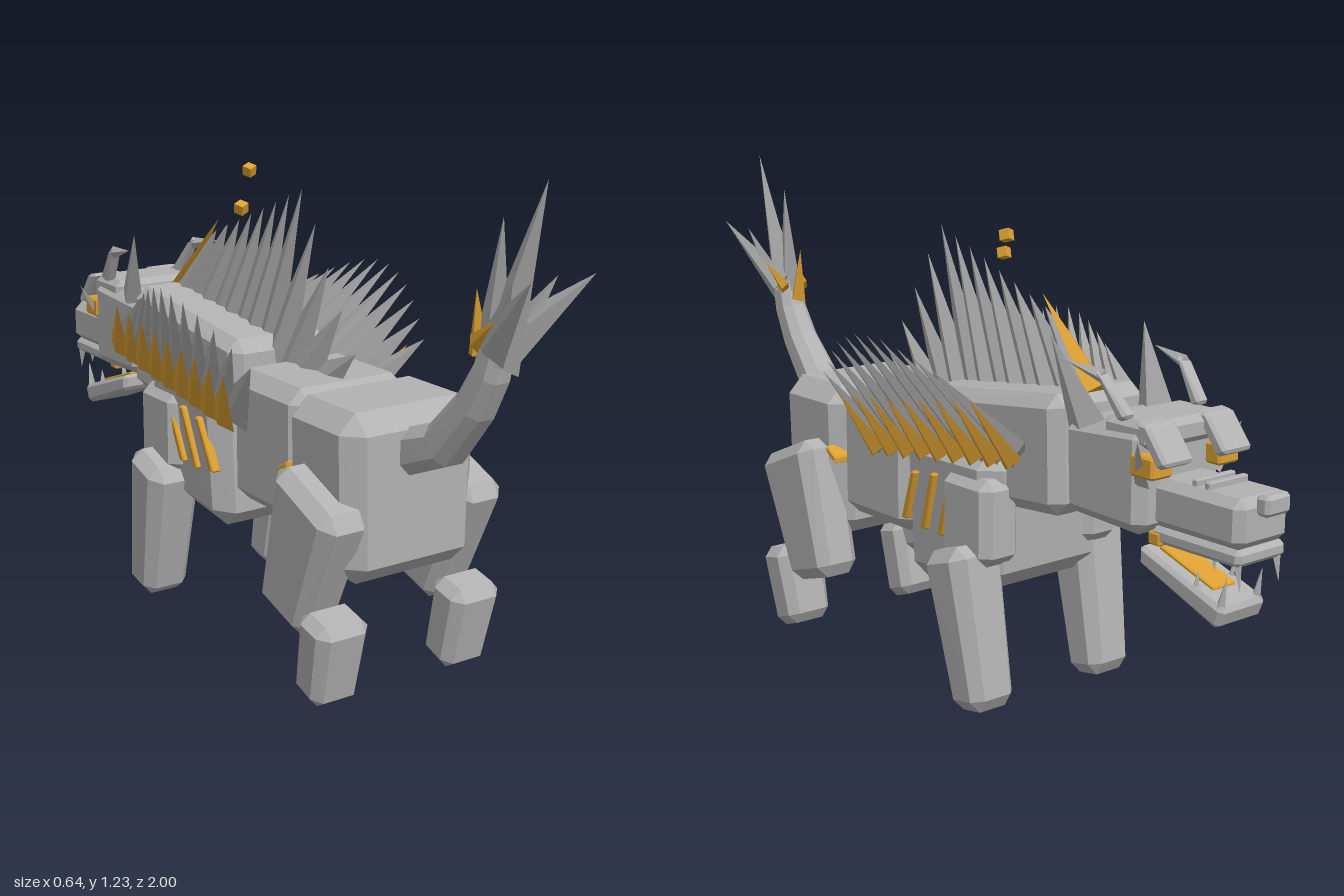
import * as THREE from 'three';
import { ConvexGeometry } from 'three/addons/geometries/ConvexGeometry.js';

const grey = new THREE.MeshStandardMaterial({ color: 0xb2b2b2 });
grey.name = 'stone grey';
const gold = new THREE.MeshStandardMaterial({ color: 0xdca032 });
gold.name = 'gold';
const V = (x, y, z) => new THREE.Vector3(x, y, z);
const lerp = (a, b, t) => a + (b - a) * t;

export function createModel() {
  const model = new THREE.Group();
  model.name = 'spinedBeast';

  function add(name, geometry, material = grey) {
    const mesh = new THREE.Mesh(geometry, material);
    mesh.name = name;
    model.add(mesh);
    return mesh;
  }

  // Bevelled block: side outline [z, y] as back-top, front-top, front-bottom, back-bottom,
  // with x ranges for the top and the bottom.
  function block(name, [bt, ft, fb, bb], top, bottom = top, c = 0.03, material = grey) {
    const points = [];
    const length = Math.hypot((bt[0] + bb[0] - ft[0] - fb[0]) / 2, (bt[1] + bb[1] - ft[1] - fb[1]) / 2);
    const height = Math.hypot((bt[0] + ft[0] - bb[0] - fb[0]) / 2, (bt[1] + ft[1] - bb[1] - fb[1]) / 2);
    const insets = [c / Math.abs(top[1] - top[0]), c / height, c / length];
    for (const a of [0, 1]) for (const b of [0, 1]) for (const d of [0, 1]) for (let full = 0; full < 3; full++) {
      const [u, v, w] = [a, b, d].map((s, k) => (k === full ? s : s ? 1 - insets[k] : insets[k]));
      const at = (k) => lerp(lerp(bb[k], fb[k], w), lerp(bt[k], ft[k], w), v);
      points.push(V(lerp(lerp(bottom[0], bottom[1], u), lerp(top[0], top[1], u), v), at(1), at(0)));
    }
    return add(name, new ConvexGeometry(points), material);
  }
  const rect = (zBack, zFront, yLow, yHigh) => [[zBack, yHigh], [zFront, yHigh], [zFront, yLow], [zBack, yLow]];

  // Flat four-sided spike; thin is the direction it is thinnest in
  function spike(name, base, tip, width, thickness, thin, material = grey) {
    const along = tip.clone().sub(base);
    const height = along.length();
    along.normalize();
    const z = thin.clone().addScaledVector(along, -thin.dot(along)).normalize();
    const x = along.clone().cross(z);
    const geometry = new THREE.ConeGeometry(1, 1, 4).toNonIndexed();
    geometry.translate(0, 0.5, 0).scale(width / 2, height, thickness / 2);
    geometry.applyMatrix4(new THREE.Matrix4().makeBasis(x, along, z).setPosition(base));
    geometry.computeVertexNormals();
    return add(name, geometry, material);
  }

  // Trunk
  block('hips', rect(0.57, 0.3, 0.29, 0.69), [-0.19, 0.19], [-0.18, 0.18], 0.045);
  block('waist', rect(0.33, 0.04, 0.36, 0.69), [-0.165, 0.165], undefined, 0.035);
  block('chest', [[0.03, 0.64], [-0.32, 0.64], [-0.3, 0.3], [0.03, 0.26]], [-0.2, 0.2], [-0.18, 0.18], 0.045);
  block('shoulders', [[0.03, 0.74], [-0.48, 0.8], [-0.49, 0.52], [0.03, 0.48]], [-0.145, 0.145], undefined, 0.03);

  // Head and muzzle
  block('head', [[-0.48, 0.75], [-0.73, 0.77], [-0.73, 0.53], [-0.49, 0.54]], [-0.13, 0.13], undefined, 0.025);
  block('forehead', rect(-0.6, -0.745, 0.72, 0.78), [-0.12, 0.12], undefined, 0.015);
  block('snout', rect(-0.7, -0.965, 0.545, 0.655), [-0.08, 0.08], undefined, 0.02);
  block('upperLip', rect(-0.71, -0.96, 0.51, 0.547), [-0.075, 0.075], undefined, 0.01);
  block('nose', rect(-0.965, -1, 0.62, 0.665), [-0.038, 0.038], undefined, 0.008);
  block('lowerJaw', [[-0.67, 0.495], [-0.92, 0.41], [-0.9, 0.36], [-0.67, 0.45]], [-0.07, 0.07], undefined, 0.01);
  block('tongue', [[-0.7, 0.493], [-0.86, 0.438], [-0.86, 0.425], [-0.7, 0.48]], [-0.035, 0.035], undefined, 0.003, gold);
  block('mouthRoof', rect(-0.705, -0.74, 0.505, 0.535), [-0.078, 0.078], undefined, 0.004, gold);
  for (const z of [-0.82, -0.855]) {
    block('snoutRidge', rect(z + 0.008, z - 0.008, 0.645, 0.67), [-0.06, 0.06], undefined, 0.003);
  }

  // Tail: bevelled tapering segments along a bent path
  const tail = [[0.54, 0.585, 0.055], [0.66, 0.63, 0.05], [0.755, 0.74, 0.042], [0.8, 0.82, 0.038], [0.82, 0.89, 0.034]];
  const rings = tail.map(([z, y, r], i) => {
    const p = tail[Math.max(0, i - 1)], n = tail[Math.min(tail.length - 1, i + 1)];
    const d = V(0, n[1] - p[1], n[0] - p[0]).normalize();
    return [[1, 0.5], [0.5, 1], [-0.5, 1], [-1, 0.5], [-1, -0.5], [-0.5, -1], [0.5, -1], [1, -0.5]]
      .map(([a, b]) => V(a * r, y + b * r * d.z, z - b * r * d.y));
  });
  for (let i = 0; i < rings.length - 1; i++) add('tailSegment', new ConvexGeometry([...rings[i], ...rings[i + 1]]));

  // Tail blades
  spike('tailBlade', V(0, 0.85, 0.82), V(0, 1.24, 0.945), 0.13, 0.07, V(1, 0, 0));
  spike('tailInnerBlade', V(0, 0.87, 0.8), V(0, 1.15, 0.82), 0.11, 0.04, V(1, 0, 0));
  spike('tailGoldBlade', V(0, 0.85, 0.76), V(0, 0.99, 0.745), 0.07, 0.04, V(1, 0, 0), gold);

  // Crest along the spine, rising to a peak and dropping toward the tail
  for (let i = 0; i < 12; i++) {
    const t = i / 11;
    const tipY = t < 0.65 ? lerp(0.96, 1.12, t / 0.65) : lerp(1.12, 0.76, (t - 0.65) / 0.35);
    spike('crestSpine', V(0, lerp(0.78, 0.64, t), lerp(-0.42, 0.17, t)), V(0, tipY, lerp(-0.28, 0.33, t)),
      0.13, i % 2 ? 0.05 : 0.065, V(1, 0, 0));
  }
  spike('crestGoldSpine', V(0, 0.79, -0.46), V(0, 0.99, -0.27), 0.05, 0.07, V(1, 0, 0), gold);

  // Loose gold cubes above the back
  for (const [x, y, z] of [[0.05, 1.12, -0.2], [-0.07, 1.055, -0.05]]) {
    const cube = add('floatingCube', new THREE.BoxGeometry(0.025, 0.025, 0.025), gold);
    cube.position.set(x, y, z);
    cube.rotation.set(0.3, 0.4, 0.2);
  }

  // Paired parts
  for (const s of [-1, 1]) {
    const X = (a, b) => [s * a, s * b];
    const thin = V(s, -0.35, 0);

    // Legs
    block('thigh', [[0.59, 0.465], [0.36, 0.56], [0.285, 0.2], [0.45, 0.15]], X(0.125, 0.26), X(0.13, 0.25), 0.03);
    block('hindFoot', [[0.58, 0.215], [0.47, 0.24], [0.43, 0.035], [0.53, 0]], X(0.12, 0.265), X(0.125, 0.25), 0.025);
    block('frontLeg', [[-0.14, 0.38], [-0.29, 0.43], [-0.345, 0.03], [-0.235, 0.01]], X(0.12, 0.275), X(0.125, 0.25), 0.03);
    block('shoulderJoint', rect(-0.15, -0.325, 0.37, 0.58), X(0.1, 0.215), undefined, 0.025);

    // Side fans of grey blades with gold blades at their roots
    for (let i = 0; i < 11; i++) {
      const t = i / 10, arc = Math.sin(Math.PI * t);
      const base = V(s * 0.19, lerp(0.66, 0.59, t), lerp(-0.41, 0.1, t));
      const tip = V(s * (lerp(0.27, 0.25, t) + 0.06 * arc), lerp(0.83, 0.75, t) + 0.1 * arc, lerp(-0.2, 0.27, t));
      spike('sideBlade', base, tip, 0.11, 0.045, thin);
    }
    for (let i = 0; i < 9; i++) {
      const t = i / 8;
      const base = V(s * 0.213, lerp(0.645, 0.575, t), lerp(-0.42, 0.09, t));
      spike('sideGoldBlade', base, base.clone().add(V(s * 0.055, 0.14, 0.09)), 0.085, 0.035, thin, gold);
    }

    // Gold rib bars and hip mark
    for (const [z, y0, y1] of [[0, 0.42, 0.55], [-0.075, 0.41, 0.56], [-0.14, 0.41, 0.55]]) {
      block('ribBar', [[z - 0.035, y1], [z - 0.053, y1], [z - 0.005, y0], [z + 0.018, y0]],
        X(0.18, 0.21), X(0.175, 0.2), 0.004, gold);
    }
    block('hipMark', [[0.34, 0.54], [0.3, 0.515], [0.3, 0.495], [0.34, 0.52]], X(0.15, 0.2), undefined, 0.004, gold);

    // Eyes, brows and cheeks
    block('eye', rect(-0.7, -0.77, 0.665, 0.715), X(0.07, 0.135), undefined, 0.006, gold);
    block('brow', [[-0.71, 0.785], [-0.75, 0.78], [-0.81, 0.705], [-0.78, 0.69]], X(0.045, 0.135), undefined, 0.008);
    spike('cheekSpike', V(s * 0.11, 0.65, -0.71), V(s * 0.16, 0.75, -0.75), 0.06, 0.03, V(s, 0, 0));

    // Ears and swept horns
    spike('ear', V(s * 0.105, 0.74, -0.54), V(s * 0.143, 0.935, -0.46), 0.12, 0.05, V(s, 0, 0));
    block('hornRoot', [[-0.59, 0.88], [-0.615, 0.865], [-0.685, 0.785], [-0.655, 0.77]], X(0.11, 0.14), X(0.095, 0.13), 0.007);
    spike('hornTip', V(s * 0.125, 0.862, -0.61), V(s * 0.138, 0.885, -0.5), 0.035, 0.03, V(s, 0, 0));

    // Teeth
    spike('upperFang', V(s * 0.06, 0.52, -0.945), V(s * 0.06, 0.455, -0.955), 0.025, 0.025, V(s, 0, 0));
    spike('upperTooth', V(s * 0.06, 0.52, -0.88), V(s * 0.06, 0.485, -0.885), 0.02, 0.02, V(s, 0, 0));
    spike('lowerFang', V(s * 0.055, 0.405, -0.9), V(s * 0.055, 0.48, -0.915), 0.025, 0.025, V(s, 0, 0));
    spike('lowerTooth', V(s * 0.055, 0.43, -0.83), V(s * 0.055, 0.475, -0.835), 0.02, 0.02, V(s, 0, 0));

    // Outer tail blades
    spike('tailSideBlade', V(s * 0.02, 0.88, 0.82), V(s * 0.085, 1.055, 1), 0.1, 0.05, V(s, 0, 0));
    spike('tailShortBlade', V(s * 0.02, 0.87, 0.82), V(s * 0.06, 1.04, 0.92), 0.09, 0.04, V(s, 0, 0));
    spike('tailSideGold', V(s * 0.03, 0.88, 0.78), V(s * 0.045, 0.95, 0.86), 0.05, 0.025, V(s, 0, 0), gold);
  }
  return model;
}
